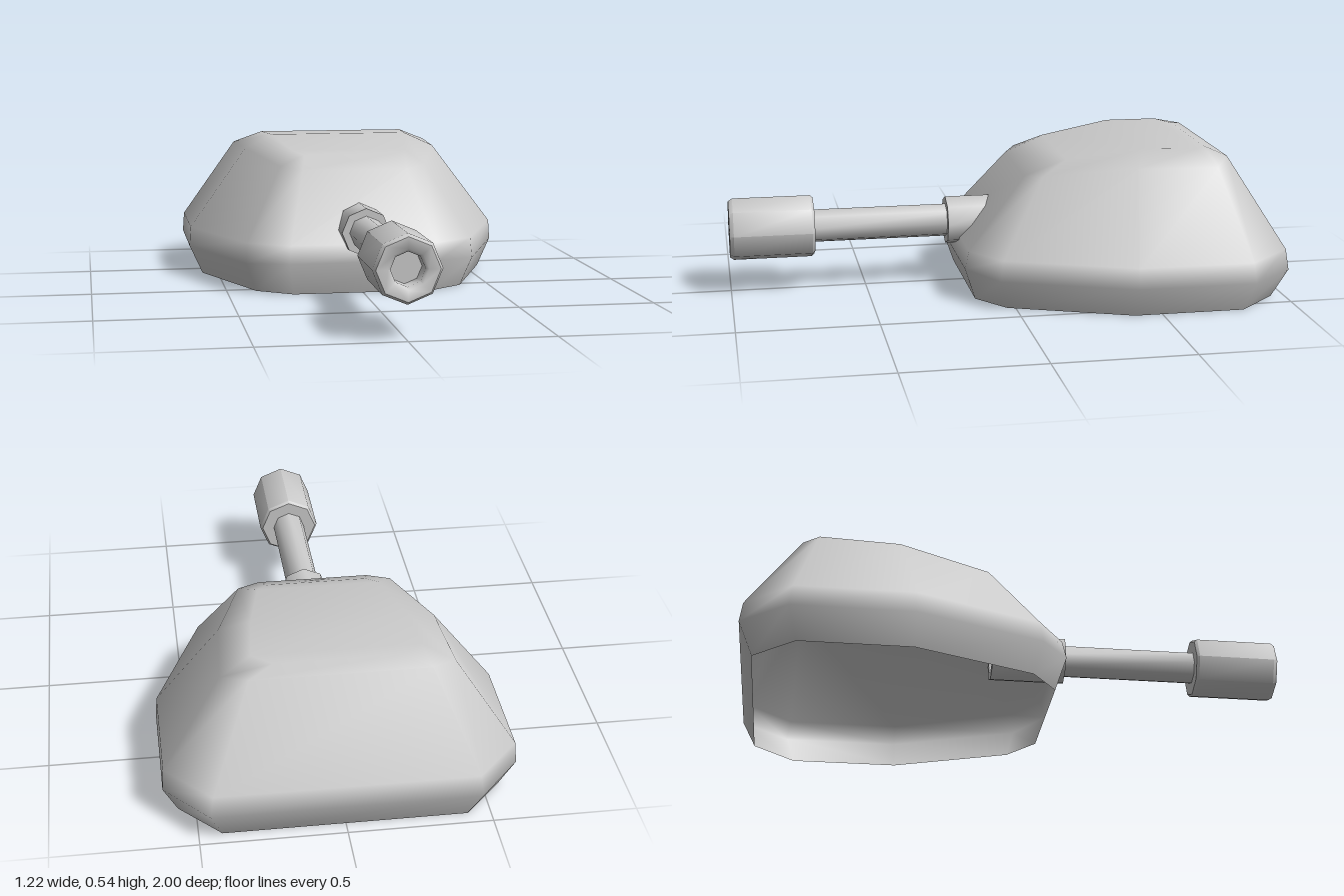
import * as THREE from 'three';
import { toCreasedNormals } from 'three/addons/utils/BufferGeometryUtils.js';

const material = new THREE.MeshStandardMaterial({ color: 0xcccccc, side: THREE.DoubleSide });

// Half cross-sections of the shell, right half of each loop from back to front: [x, y, z]
const LEVELS = [
  [[.42, 0, -.95], [.56, 0, -.80], [.56, 0, -.40], [.39, 0, .03], [.26, 0, .125]],
  [[.46, .11, -1], [.61, .11, -.83], [.61, .11, -.40], [.43, .11, .06], [.28, .12, .165]],
  [[.45, .185, -.99], [.605, .185, -.82], [.605, .185, -.40], [.425, .185, .05], [.275, .185, .15]],
  [[.31, .51, -.80], [.40, .49, -.74], [.38, .49, -.45], [.28, .45, -.12], [.20, .44, -.07]],
  [[.22, .53, -.74], [.29, .535, -.69], [.27, .54, -.49], [.22, .50, -.22], [.18, .487, -.17]],
];

// Open-bottomed shell: mirrored loops joined by strips, closed by a roof
function shellGeometry() {
  const positions = [], index = [];
  for (const half of LEVELS) {
    const mirrored = half.map(([x, y, z]) => [-x, y, z]).reverse();
    for (const p of [...half, ...mirrored]) positions.push(...p);
  }
  const quad = (a, b, c, d) => index.push(a, b, c, a, c, d);
  const n = 10;
  for (let i = 0; i < LEVELS.length - 1; i++) {
    for (let j = 0; j < n; j++) {
      const k = (j + 1) % n;
      quad(i * n + k, i * n + j, (i + 1) * n + j, (i + 1) * n + k);
    }
  }
  const top = (LEVELS.length - 1) * n;
  for (let j = 0; j < 4; j++) quad(top + j, top + 9 - j, top + 8 - j, top + j + 1);
  const g = new THREE.BufferGeometry();
  g.setAttribute('position', new THREE.Float32BufferAttribute(positions, 3));
  g.setIndex(index);
  g.computeVertexNormals();
  return g;
}

// Eight-sided turned part along z from [radius, z] pairs
function turned(name, profile) {
  const points = profile.map(([r, z]) => new THREE.Vector2(r, z));
  const g = new THREE.LatheGeometry(points, 8).rotateX(Math.PI / 2);
  const mesh = new THREE.Mesh(toCreasedNormals(g, 0.85), material);
  mesh.name = name;
  mesh.position.y = 0.235;
  return mesh;
}

export function createModel() {
  const group = new THREE.Group();
  group.name = 'turret';

  const shell = new THREE.Mesh(shellGeometry(), material);
  shell.name = 'shell';
  group.add(shell);

  // Sleeve through the front wall, hollow towards the inside
  group.add(turned('barrelSleeve', [[0, .02], [.06, .02], [.06, -.08], [.09, -.08], [.09, .195], [.06, .195]]));
  group.add(turned('barrel', [[.062, .1], [.062, .72]]));
  // Muzzle with slightly bevelled ends and a recessed bore
  group.add(turned('muzzle', [
    [.062, .69], [.108, .69], [.117, .70], [.117, .985], [.107, 1],
    [.068, 1], [.058, .99], [.058, .93], [0, .93],
  ]));
  return group;
}
